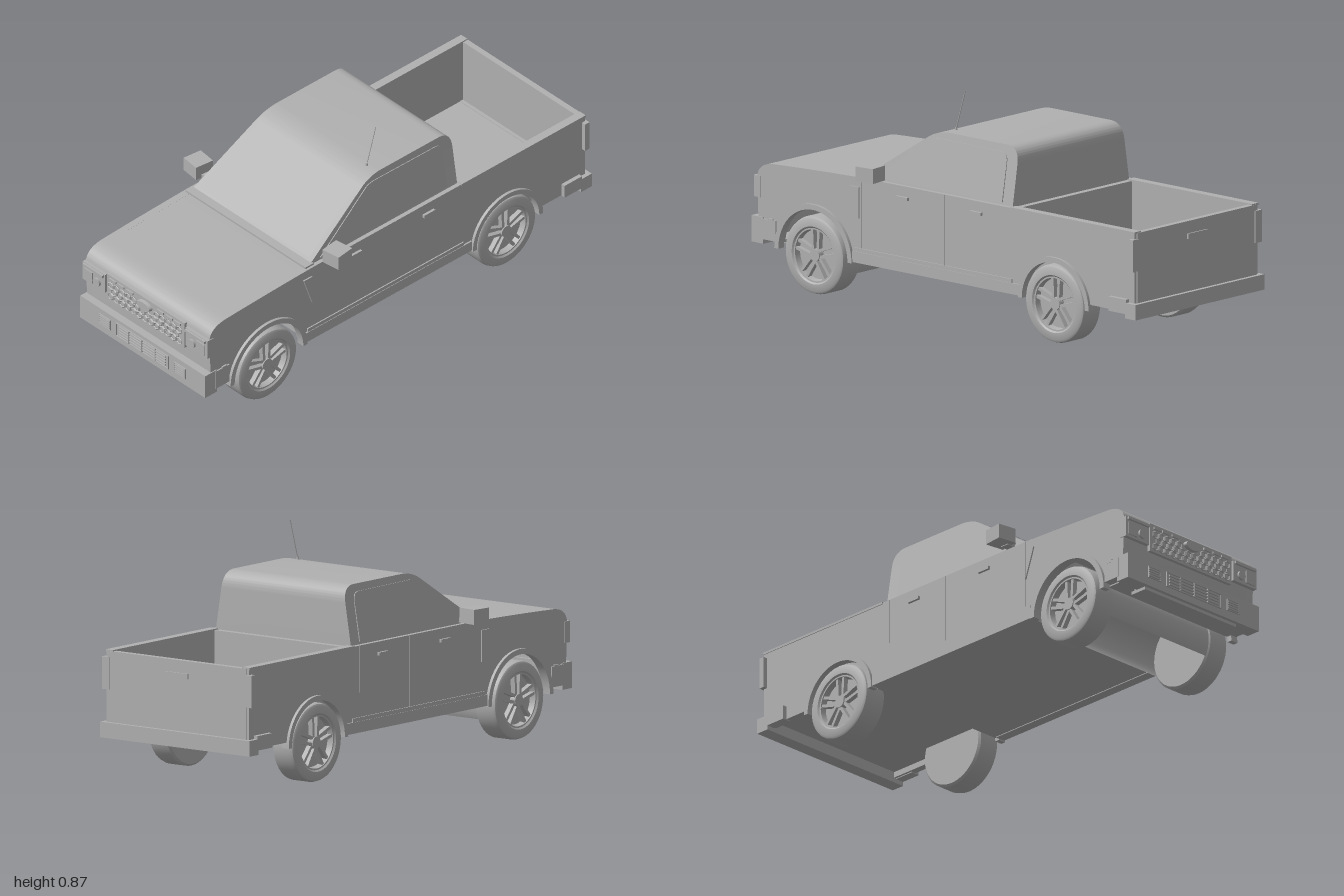
import * as THREE from 'three';
import { mergeGeometries, toCreasedNormals } from 'three/addons/utils/BufferGeometryUtils.js';

export function createModel() {
  const truck = new THREE.Group();
  truck.name = 'pickupTruck';
  const grey = new THREE.MeshStandardMaterial({ color: 0xb0b0b0, side: THREE.DoubleSide });
  grey.name = 'plain grey';

  const add = (name, geo, parent = truck) => {
    const mesh = new THREE.Mesh(geo, grey);
    mesh.name = name;
    parent.add(mesh);
    return mesh;
  };
  // box given by its limits on each axis
  const boxGeo = (x0, x1, y0, y1, z0, z1) =>
    new THREE.BoxGeometry(Math.abs(x1 - x0), y1 - y0, z1 - z0).translate((x0 + x1) / 2, (y0 + y1) / 2, (z0 + z1) / 2);
  const box = (name, ...b) => add(name, boxGeo(...b));
  const pair = (name, x0, x1, ...b) => [1, -1].forEach((s) => box(name, s * x0, s * x1, ...b));
  // shape drawn in (z, y), extruded across x from x0 to x1
  const slab = (shape, x0, x1) => toCreasedNormals(
    new THREE.ExtrudeGeometry(shape, { depth: x1 - x0, bevelEnabled: false, curveSegments: 20 })
      .rotateY(-Math.PI / 2).translate(x1, 0, 0), 0.5);
  const poly = (pts) => new THREE.Shape(pts.map(([a, b]) => new THREE.Vector2(a, b)));

  const AXLE_Y = 0.152, FRONT = 0.667, REAR = -0.571;

  // body sides with wheel arches cut out
  const side = new THREE.Shape();
  side.moveTo(-0.98, 0.175);
  for (const [z, r] of [[REAR, 0.168], [FRONT, 0.182]]) {
    const a = Math.asin((0.175 - AXLE_Y) / r);
    side.lineTo(z - r * Math.cos(a), 0.175);
    side.absarc(z, AXLE_Y, r, Math.PI - a, a, true);
  }
  side.lineTo(0.955, 0.175);
  side.lineTo(0.965, 0.41);
  side.quadraticCurveTo(0.962, 0.468, 0.88, 0.474);
  side.quadraticCurveTo(0.65, 0.485, 0.43, 0.49);
  side.lineTo(-0.98, 0.49);
  side.closePath();
  add('leftBodySide', slab(side, 0.315, 0.345));
  add('rightBodySide', slab(side, -0.345, -0.315));

  // bonnet and nose in one bent sheet
  const hood = new THREE.Shape();
  hood.moveTo(0.955, 0.175);
  hood.lineTo(0.965, 0.41);
  hood.quadraticCurveTo(0.962, 0.468, 0.88, 0.474);
  hood.quadraticCurveTo(0.65, 0.485, 0.41, 0.49);
  hood.lineTo(0.41, 0.475);
  hood.lineTo(0.88, 0.459);
  hood.quadraticCurveTo(0.948, 0.455, 0.95, 0.41);
  hood.lineTo(0.94, 0.175);
  add('hoodAndNose', slab(hood, -0.316, 0.316));
  box('cowl', -0.335, 0.335, 0.482, 0.497, 0.415, 0.458);
  box('firewall', -0.316, 0.316, 0.165, 0.48, 0.45, 0.46);
  box('noseFloor', -0.316, 0.316, 0.17, 0.18, 0.85, 0.95);

  // cab: side profile extruded, then narrowed towards the roof
  const halfWidth = (y) => 0.33 - 0.041 * THREE.MathUtils.clamp((y - 0.48) / 0.237, 0, 1);
  const cab = new THREE.Shape();
  cab.moveTo(-0.335, 0.47);
  cab.lineTo(0.44, 0.47);
  cab.lineTo(0.425, 0.495);
  cab.lineTo(0.125, 0.69);
  cab.quadraticCurveTo(0.085, 0.714, 0.03, 0.717);
  cab.lineTo(-0.275, 0.717);
  cab.quadraticCurveTo(-0.335, 0.715, -0.335, 0.65);
  cab.closePath();
  const cabGeo = slab(cab, -1, 1);
  const cp = cabGeo.attributes.position;
  for (let i = 0; i < cp.count; i++) cp.setX(i, cp.getX(i) * halfWidth(cp.getY(i)));
  add('cab', toCreasedNormals(cabGeo, 0.5));

  // windscreen plate
  const screen = new THREE.BufferGeometry();
  screen.setAttribute('position', new THREE.Float32BufferAttribute(
    [-0.308, 0.507, 0.414, 0.308, 0.507, 0.414, 0.27, 0.692, 0.13, -0.27, 0.692, 0.13], 3));
  screen.setIndex([0, 1, 2, 0, 2, 3]);
  screen.computeVertexNormals();
  add('windscreen', screen);

  // side windows lean with the cab
  const pane = new THREE.Shape();
  pane.moveTo(-0.282, 0.5);
  pane.lineTo(0.375, 0.5);
  pane.lineTo(0.11, 0.68);
  pane.quadraticCurveTo(0.09, 0.69, 0.06, 0.69);
  pane.lineTo(-0.25, 0.688);
  pane.quadraticCurveTo(-0.282, 0.688, -0.282, 0.65);
  for (const s of [1, -1]) {
    const g = slab(pane, -0.003, 0.003), p = g.attributes.position;
    for (let i = 0; i < p.count; i++) p.setX(i, p.getX(i) + s * halfWidth(p.getY(i)));
    g.computeVertexNormals();
    add('sideWindow', g);
  }

  // underside and rockers
  box('cabFloor', -0.316, 0.316, 0.16, 0.175, -0.4, 0.46);
  add('floorRearStep', slab(poly([[-0.4, 0.16], [-0.4, 0.215], [-0.46, 0.215], [-0.46, 0.2]]), -0.316, 0.316));
  pair('rocker', 0.31, 0.352, 0.157, 0.2, -0.39, 0.47);
  pair('rockerTrim', 0.344, 0.35, 0.2, 0.215, -0.35, 0.46);

  // cargo bed
  box('bedFloor', -0.316, 0.316, 0.198, 0.213, -0.975, -0.34);
  box('bedFrontWall', -0.316, 0.316, 0.175, 0.488, -0.36, -0.335);
  box('tailgate', -0.335, 0.335, 0.19, 0.488, -0.984, -0.96);
  box('tailgateHandle', -0.055, 0.055, 0.42, 0.44, -0.99, -0.98);
  pair('bedRail', 0.313, 0.348, 0.484, 0.493, -0.982, -0.34);
  pair('tailLamp', 0.325, 0.362, 0.34, 0.465, -0.988, -0.965);
  for (const s of [1, -1]) {
    const tub = new THREE.Shape();
    tub.absarc(REAR, AXLE_Y, 0.174, 0.35, Math.PI - 0.35, false);
    add('wheelTub', slab(tub, s > 0 ? 0.222 : -0.316, s > 0 ? 0.316 : -0.222));
  }

  // front wheel well liner, an open arch across the body
  add('frontWellLiner', new THREE.CylinderGeometry(0.147, 0.147, 0.65, 40, 1, true, -0.46, Math.PI + 0.92)
    .rotateZ(Math.PI / 2).rotateX(-Math.PI / 2 + Math.PI / 2).translate(0, AXLE_Y, FRONT));

  // arch flares
  for (const [z, r0, r1] of [[FRONT, 0.178, 0.199], [REAR, 0.162, 0.182]]) {
    const f = new THREE.Shape();
    f.absarc(z, AXLE_Y, r1, 0, Math.PI, false);
    f.absarc(z, AXLE_Y, r0, Math.PI, 0, true);
    for (const s of [1, -1]) add('archFlare', slab(f, s > 0 ? 0.325 : -0.357, s > 0 ? 0.357 : -0.325));
  }

  // wheels: axis along x, outer face towards +x
  const tyre = [[0, -0.05], [0.144, -0.05], [0.152, -0.042], [0.152, 0.034], [0.148, 0.046], [0.14, 0.051],
    [0.112, 0.052], [0.106, 0.046], [0.1, 0.046], [0.096, 0.022], [0, 0.022]].map((p) => new THREE.Vector2(...p));
  const tyreGeo = toCreasedNormals(new THREE.LatheGeometry(tyre, 48).rotateZ(-Math.PI / 2), 0.6);
  const spokes = [];
  for (let i = 0; i < 5; i++) {
    for (const k of [-1, 1]) {
      spokes.push(boxGeo(0.02, 0.042, 0.015, 0.1, -0.006, 0.006)
        .translate(0, 0, k * 0.011).rotateX(k * 0.06 + i * Math.PI * 0.4));
    }
  }
  const hub = new THREE.CylinderGeometry(0.024, 0.026, 0.026, 20).rotateZ(-Math.PI / 2).translate(0.033, 0, 0);
  for (const [z, n] of [[FRONT, 'front'], [REAR, 'rear']]) {
    for (const s of [1, -1]) {
      const wheel = new THREE.Group();
      wheel.name = n + (s > 0 ? 'LeftWheel' : 'RightWheel');
      add('tyre', tyreGeo, wheel);
      add('spokes', mergeGeometries(spokes), wheel);
      add('hub', hub, wheel);
      wheel.position.set(s * 0.302, AXLE_Y, z);
      if (s < 0) wheel.rotation.y = Math.PI;
      truck.add(wheel);
    }
  }

  // bumpers
  box('frontBumper', -0.349, 0.349, 0.157, 0.26, 0.93, 0.99);
  pair('frontBumperEnd', 0.325, 0.351, 0.175, 0.255, 0.865, 0.94);
  box('frontLip', -0.243, 0.243, 0.145, 0.158, 0.9, 0.975);
  pair('towHook', 0.2, 0.24, 0.146, 0.165, 0.915, 0.96);
  box('rearBumper', -0.362, 0.362, 0.155, 0.215, -1, -0.945);
  pair('rearBumperEnd', 0.325, 0.362, 0.172, 0.228, -0.95, -0.86);

  // bumper vents
  const vent = (x, w, y0, y1, rows) => {
    const bars = [boxGeo(x - w, x + w, y0, y0 + 0.003, 0.985, 0.995), boxGeo(x - w, x + w, y1 - 0.003, y1, 0.985, 0.995)];
    for (const k of [-1, 1]) bars.push(boxGeo(x + k * w - 0.0015, x + k * w + 0.0015, y0, y1, 0.985, 0.995));
    for (let i = 1; i <= rows; i++) {
      const y = y0 + (y1 - y0) * i / (rows + 1);
      bars.push(boxGeo(x - w * 0.9, x + w * 0.9, y - 0.003, y + 0.003, 0.985, 0.996));
    }
    add('bumperVent', mergeGeometries(bars));
  };
  vent(0, 0.145, 0.184, 0.245, 4);
  vent(0.21, 0.031, 0.19, 0.237, 4);
  vent(-0.21, 0.031, 0.19, 0.237, 4);
  for (const x of [-0.073, 0, 0.073]) box('ventUpright', x - 0.002, x + 0.002, 0.186, 0.243, 0.985, 0.997);

  // grille with honeycomb
  box('grillePanel', -0.217, 0.217, 0.315, 0.43, 0.95, 0.975);
  const cells = [];
  [0.388, 0.363, 0.337].forEach((y, row) => {
    for (let i = 0; i < 13 - (row % 2); i++) {
      const x = (i - (12 - (row % 2)) / 2) * 0.0318;
      if (row === 0 && Math.abs(x) < 0.035) continue;
      cells.push(new THREE.TorusGeometry(0.0145, 0.003, 4, 6).rotateZ(Math.PI / 6).translate(x, y, 0.978));
    }
  });
  add('honeycomb', toCreasedNormals(mergeGeometries(cells), 0.3));
  for (const x of [0.085, 0.135, 0.18]) pair('grilleSlot', x - 0.018, x + 0.018, 0.41, 0.42, 0.97, 0.981);
  add('grilleOval', new THREE.CylinderGeometry(0.036, 0.039, 0.014, 32).rotateX(Math.PI / 2)
    .scale(1, 0.5, 1).translate(0, 0.4, 0.983));

  // headlamps
  pair('headlamp', 0.225, 0.348, 0.335, 0.418, 0.945, 0.978);
  pair('headlampBar', 0.23, 0.34, 0.405, 0.416, 0.97, 0.987);
  pair('headlampInner', 0.29, 0.336, 0.345, 0.395, 0.97, 0.983);
  for (const s of [1, -1]) {
    add('headlampLens', new THREE.CylinderGeometry(0.018, 0.018, 0.014, 24).rotateX(Math.PI / 2)
      .translate(s * 0.265, 0.366, 0.98));
  }

  // mirrors, turned slightly outwards
  for (const s of [1, -1]) {
    add('mirror', new THREE.BoxGeometry(0.08, 0.058, 0.08).rotateY(s * 0.12).translate(s * 0.388, 0.527, 0.342));
    box('mirrorArm', s * 0.31, s * 0.37, 0.495, 0.514, 0.325, 0.36);
  }

  // door seams, handles and fender details
  for (const [z, y0] of [[0.43, 0.21], [0, 0.215], [-0.303, 0.31]]) pair('doorSeam', 0.34, 0.3465, y0, 0.488, z - 0.002, z + 0.002);
  for (const z of [0.212, -0.167]) pair('doorHandle', 0.34, 0.356, 0.438, 0.45, z - 0.029, z + 0.029);
  pair('sideMarker', 0.34, 0.352, 0.248, 0.26, 0.88, 0.903);
  const fin = poly([[0.48, 0.452], [0.437, 0.452], [0.437, 0.33]]);
  add('leftFenderVent', slab(fin, 0.343, 0.351));
  add('rightFenderVent', slab(fin, -0.351, -0.343));

  // antenna
  add('antenna', new THREE.TubeGeometry(new THREE.LineCurve3(
    new THREE.Vector3(0.231, 0.71, 0.047), new THREE.Vector3(0.231, 0.873, -0.002)), 1, 0.002, 6));
  add('antennaBase', new THREE.CylinderGeometry(0.004, 0.006, 0.014, 12).translate(0.231, 0.72, 0.045));

  return truck;
}
